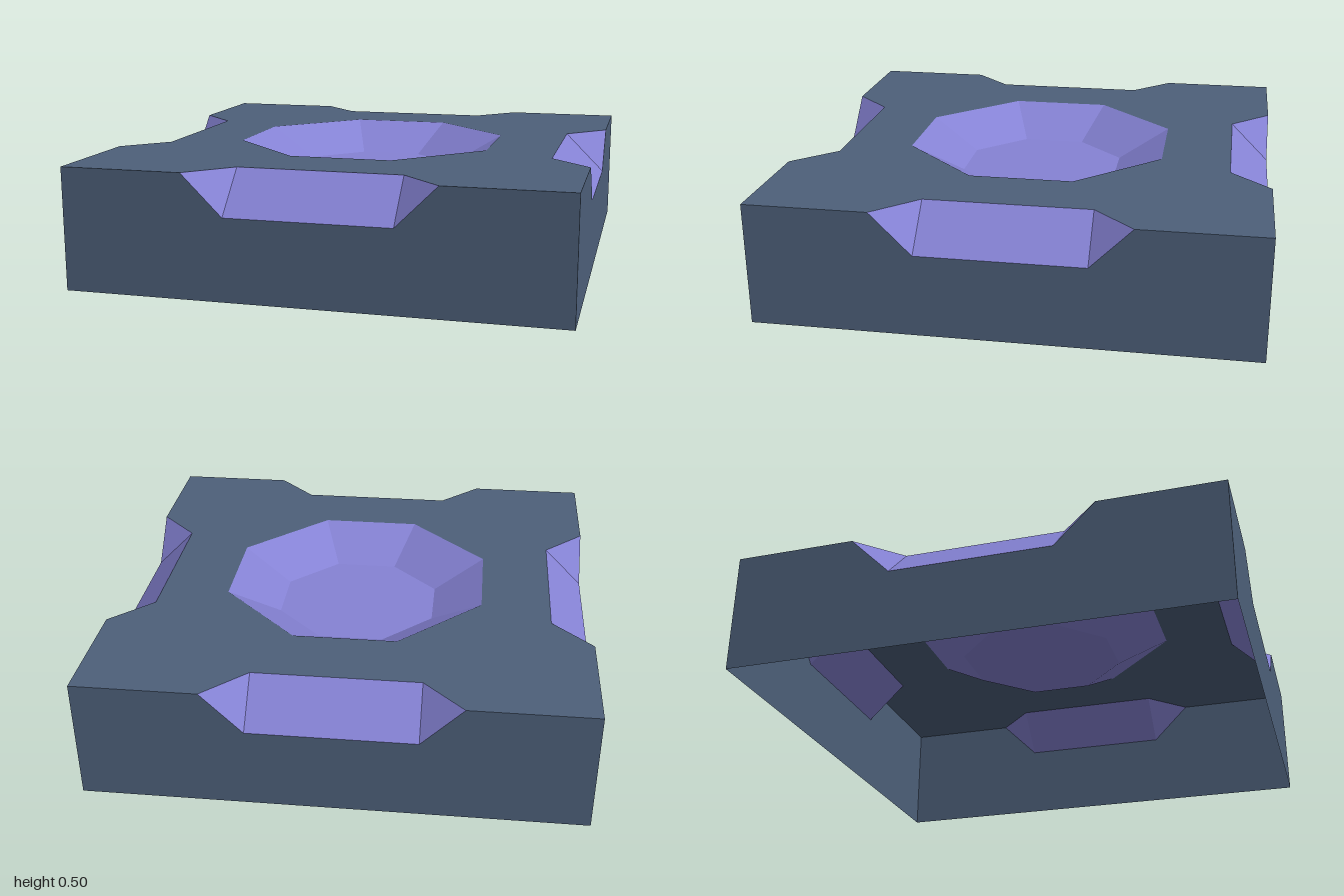
import * as THREE from 'three';

const H = 0.5;           // slab height
const N = 1 / 6;         // notch depth
const W = 1 / 3;         // half length of a notch floor
const DEPTH = 0.125;     // basin depth

// Cut-cornered octagon: flat sides at distance a, each of half length b
const octagon = (a, b) => [[a, -b], [a, b], [b, a], [-b, a], [-a, b], [-a, -b], [-b, -a], [b, -a]];
const shapeOf = (pts) => new THREE.Shape(pts.map(([x, y]) => new THREE.Vector2(x, y)));

// Flat faces from corner loops, fanned into triangles
function faces(polygons) {
  const pos = [];
  for (const p of polygons) {
    for (let i = 1; i < p.length - 1; i++) pos.push(...p[0], ...p[i], ...p[i + 1]);
  }
  const geo = new THREE.BufferGeometry();
  geo.setAttribute('position', new THREE.Float32BufferAttribute(pos, 3));
  geo.computeVertexNormals();
  return geo;
}

export function createModel() {
  const group = new THREE.Group();
  const slate = new THREE.MeshStandardMaterial({ color: 0x4d607a, side: THREE.DoubleSide, flatShading: true });
  slate.name = 'slate';
  const violet = new THREE.MeshStandardMaterial({ color: 0x8582d4, side: THREE.DoubleSide, flatShading: true });
  violet.name = 'violet';
  const add = (name, geo, mat, parent = group) => {
    const mesh = new THREE.Mesh(geo, mat);
    mesh.name = name;
    parent.add(mesh);
    return mesh;
  };

  const rim = octagon(0.545, 0.212);
  const floor = octagon(0.333, 0.133);

  // Top sheet with four edge notches and the basin opening
  const outline = [];
  for (let k = 0; k < 4; k++) {
    const c = Math.cos(k * Math.PI / 2), s = Math.sin(k * Math.PI / 2);
    for (const [x, y] of [[1, -1], [1, -0.5], [1 - N, -W], [1 - N, W], [1, 0.5]]) {
      outline.push([x * c - y * s, x * s + y * c]);
    }
  }
  const top = shapeOf(outline);
  top.holes.push(new THREE.Path(rim.map(([x, y]) => new THREE.Vector2(x, y)).reverse()));
  add('topSurface', new THREE.ShapeGeometry(top).rotateX(-Math.PI / 2).translate(0, H, 0), slate);

  // Basin: eight sloping sides and a flat floor
  const at = ([x, y], h) => [x, h, -y];
  const sides = rim.map((p, i) => {
    const j = (i + 1) % 8;
    return [at(p, H), at(rim[j], H), at(floor[j], H - DEPTH), at(floor[i], H - DEPTH)];
  });
  add('basinSides', faces(sides), violet);
  add('basinFloor', faces([floor.map((p) => at(p, H - DEPTH))]), violet);

  // Four notched walls with chamfered cut faces; the underside stays open
  const wallShape = shapeOf([[-1, 0], [1, 0], [1, H], [0.5, H], [W, H - N], [-W, H - N], [-0.5, H], [-1, H]]);
  const wallGeo = new THREE.ShapeGeometry(wallShape).translate(0, 0, 1);
  const notchGeo = faces([
    [[-W, H - N, 1], [W, H - N, 1], [W, H, 1 - N], [-W, H, 1 - N]],
    [[W, H - N, 1], [0.5, H, 1], [W, H, 1 - N]],
    [[-W, H - N, 1], [-W, H, 1 - N], [-0.5, H, 1]],
  ]);
  ['front', 'left', 'back', 'right'].forEach((side, k) => {
    const part = new THREE.Group();
    part.name = side + 'Side';
    part.rotation.y = k * Math.PI / 2;
    add(side + 'Wall', wallGeo, slate, part);
    add(side + 'Notch', notchGeo, violet, part);
    group.add(part);
  });

  return group;
}
